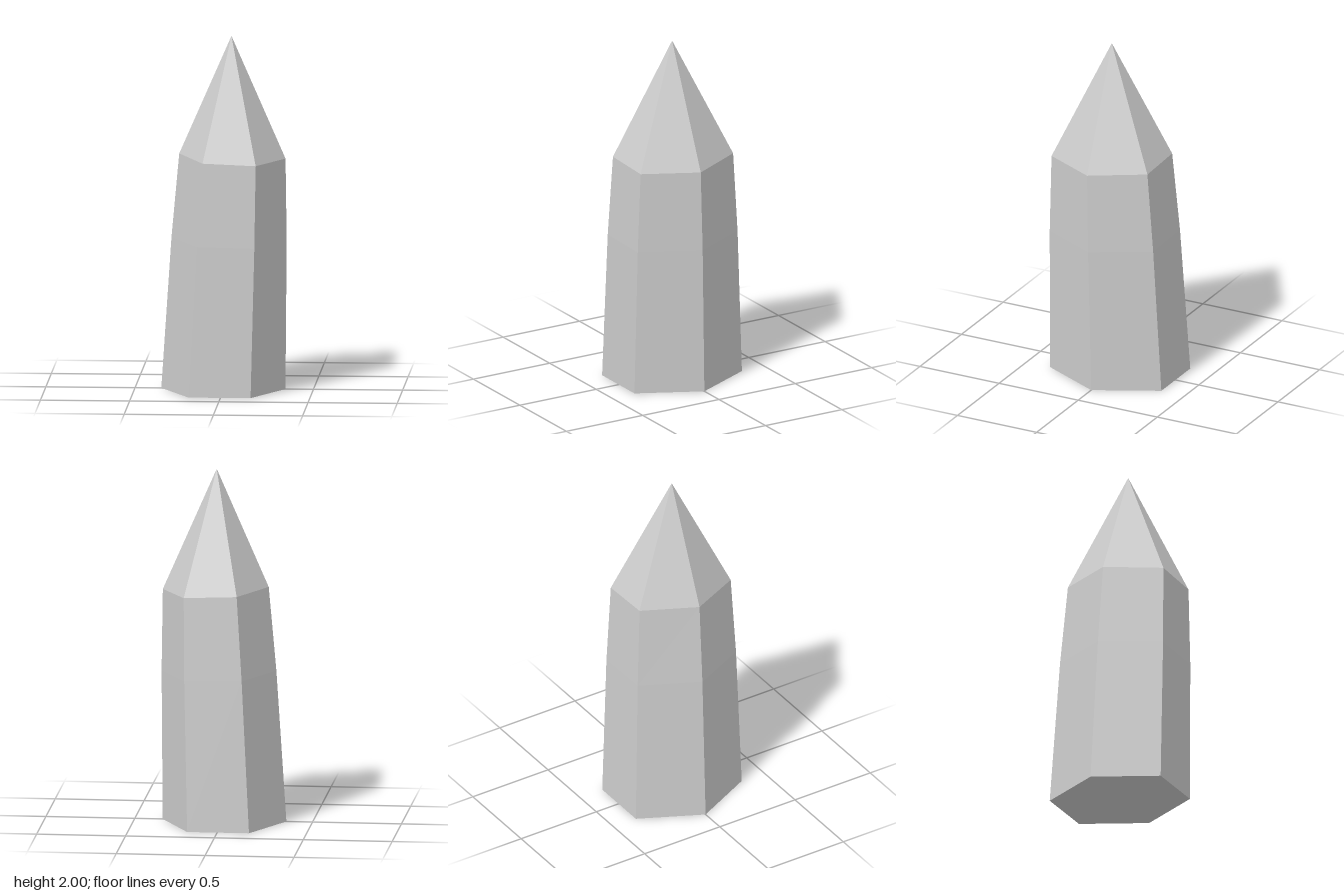
import * as THREE from 'three';

const SIDES = 6;

// Six-sided ring: centre, x radius, z half depth, and a slight tilt of its height
function ring(cx, y, cz, rx, halfZ, tiltX = 0, tiltZ = 0) {
  const rz = halfZ / Math.sin(Math.PI / 3);
  return Array.from({ length: SIDES }, (_, i) => {
    const a = (i / SIDES) * Math.PI * 2;
    const dx = rx * Math.cos(a), dz = rz * Math.sin(a);
    return new THREE.Vector3(cx + dx, y + tiltX * dx + tiltZ * dz, cz + dz);
  });
}

// Unshared triangles give flat facets
function facets(points) {
  const geometry = new THREE.BufferGeometry().setFromPoints(points);
  geometry.computeVertexNormals();
  return geometry;
}

export function createModel() {
  const stone = new THREE.MeshStandardMaterial({ color: 0xcccccc });
  stone.name = 'pale grey crystal';

  // Cross-sections of the leaning shaft, bottom to top
  const base = ring(-0.005, 0, 0, 0.348, 0.352);
  const middle = ring(0.028, 0.85, 0.016, 0.323, 0.327, -0.02, -0.01);
  const shoulder = ring(0.047, 1.32, 0.025, 0.298, 0.303, -0.04, -0.018);
  const apex = new THREE.Vector3(0.042, 2, 0.028);
  const baseCentre = new THREE.Vector3(-0.005, 0, 0);

  const shaft = [], point = [], bottom = [];
  for (let i = 0; i < SIDES; i++) {
    const j = (i + 1) % SIDES;
    for (const [lo, hi] of [[base, middle], [middle, shoulder]]) {
      shaft.push(lo[i], hi[i], lo[j], lo[j], hi[i], hi[j]);
    }
    point.push(shoulder[i], apex, shoulder[j]);
    bottom.push(baseCentre, base[i], base[j]);
  }

  const group = new THREE.Group();
  group.name = 'crystal';
  for (const [name, points] of Object.entries({ shaft, point, bottom })) {
    const mesh = new THREE.Mesh(facets(points), stone);
    mesh.name = name;
    group.add(mesh);
  }
  return group;
}
